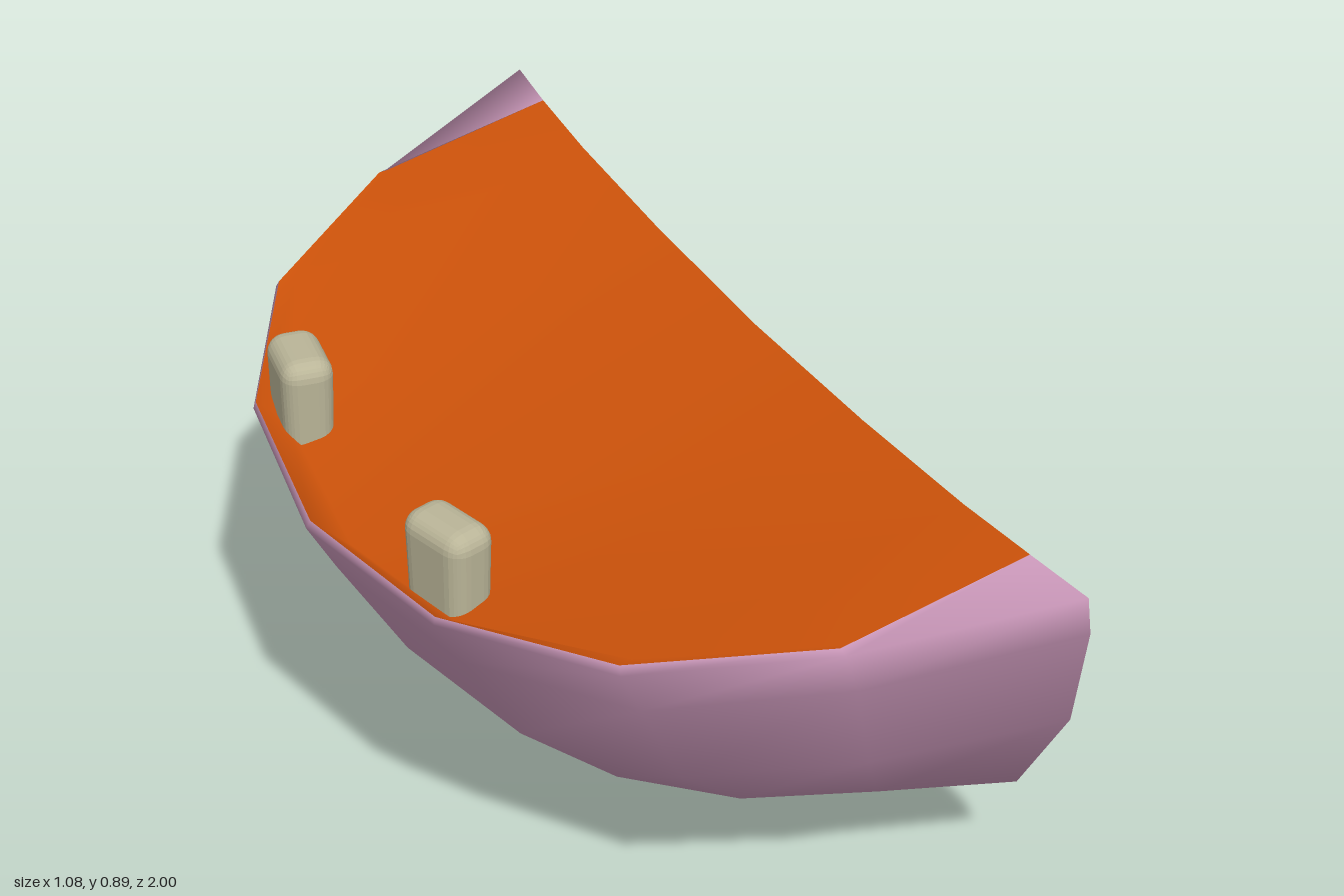
import * as THREE from 'three';
import { RoundedBoxGeometry } from 'three/addons/geometries/RoundedBoxGeometry.js';

// Half a row (z >= 0, centre line first) mirrored to a full row running from -z to +z
const mirrorRow = (half) => [
  ...half.slice(1).reverse().map(([x, y, z]) => [x, y, -z]),
  ...half,
];

// Smooth surface through equal-length rows of points
function loft(rows) {
  const n = rows[0].length;
  const index = [];
  for (let r = 0; r < rows.length - 1; r++) {
    for (let c = 0; c < n - 1; c++) {
      const a = r * n + c, b = a + n;
      // mirror the diagonals so both halves match
      if (c < (n - 1) / 2) index.push(a, b, b + 1, a, b + 1, a + 1);
      else index.push(a, b, a + 1, a + 1, b, b + 1);
    }
  }
  const geo = new THREE.BufferGeometry();
  geo.setAttribute('position', new THREE.Float32BufferAttribute(rows.flat(2), 3));
  geo.setIndex(index);
  geo.computeVertexNormals();
  return geo;
}

function addMesh(group, name, geometry, color, side = THREE.FrontSide) {
  const mesh = new THREE.Mesh(geometry, new THREE.MeshStandardMaterial({ color, side }));
  mesh.name = name;
  group.add(mesh);
  return mesh;
}

export function createModel() {
  const group = new THREE.Group();
  group.name = 'lowerJaw';

  // Outer shell: quarter bowl, open at +x, with every meridian meeting at the keel's end
  const along = [1, 0.93, 0.73, 0.4, 0];
  const across = [0, 0.37, 0.68, 0.87, 1];
  // keel x, keel y, opening x, opening y, half width, lift and spread of the sides
  const rings = [
    [-0.543, 0.697, 0.375, 0.882, 1, 0, 0],
    [-0.49, 0.6, 0.4, 0.79, 0.98, 0, 0],
    [-0.36, 0.38, 0.45, 0.53, 0.88, 0.04, 0.02],
    [-0.13, 0.15, 0.495, 0.24, 0.68, 0.21, 0.08],
    [0.19, 0.046, 0.525, 0.062, 0.37, 0.11, 0.03],
    [0.54, 0, 0.54, 0, 0, 0, 0],
  ];
  const lip = [
    [-0.535, 0.711, 0], [-0.475, 0.724, 0.367], [-0.293, 0.762, 0.67],
    [0.003, 0.819, 0.86], [0.355, 0.886, 0.86],
  ];
  const shellRows = rings.map(([kx, ky, ox, oy, w, lift, spread]) => mirrorRow(
    along.map((t, i) => [
      ox + (kx - ox) * t,
      oy + (ky - oy) * t + lift * t * across[i] ** 2,
      (w + spread * t) * across[i],
    ])));
  addMesh(group, 'jawShell', loft([mirrorRow(lip), ...shellRows]), 0xcc99bb, THREE.DoubleSide);

  // Mouth floor: from its raised back edge to a small dip behind the front lip
  const back = [[0.335, 0.857, 0], [0.338, 0.864, 0.367], [0.345, 0.876, 0.675], [0.355, 0.886, 0.86]];
  const dip = [[-0.46, 0.635, 0], [-0.42, 0.677, 0.35], [-0.265, 0.757, 0.66], [0.02, 0.82, 0.86]];
  addMesh(group, 'mouthFloor', loft([back, dip, lip.slice(0, 4)].map(mirrorRow)), 0xcc520a, THREE.DoubleSide);

  // Teeth: rounded crowns on flat roots, slightly slimmer at the root
  const toothGeo = new RoundedBoxGeometry(0.097, 0.22, 0.152, 3, 0.034);
  const pos = toothGeo.attributes.position;
  for (let i = 0; i < pos.count; i++) {
    const y = Math.max(pos.getY(i), -0.07);
    const s = 0.96 + 0.5 * Math.min(y, 0.06);
    pos.setXYZ(i, pos.getX(i) * s, y, pos.getZ(i) * s);
  }
  toothGeo.computeVertexNormals();
  for (const [name, x, z, turn] of [['rightTooth', -0.395, -0.345, -0.16], ['leftTooth', -0.395, 0.255, 0.27]]) {
    const tooth = addMesh(group, name, toothGeo, 0xbab598);
    tooth.position.set(x, 0.72, z);
    tooth.rotation.y = turn;
  }

  return group;
}
